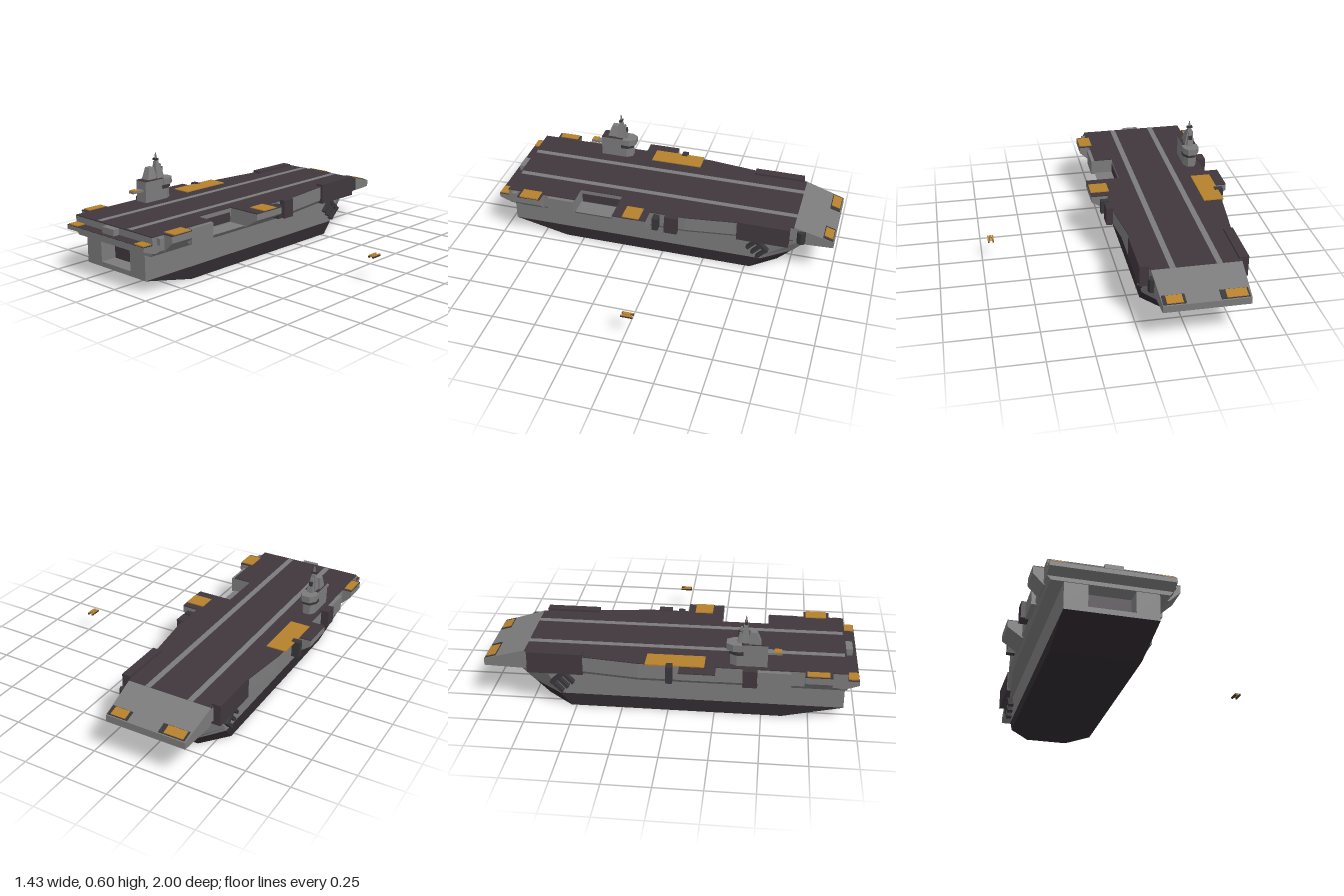
import * as THREE from 'three';

const C = -0.3175; // ship centreline in x
const mat = (name, color) => Object.assign(new THREE.MeshStandardMaterial({ color, flatShading: true }), { name });

// Solid from stacked rings of [x, y, z]; each runs stern-left, stern-right, bow-right, bow-left
function loft(rings) {
  const pos = [];
  const tri = (a, b, c) => pos.push(...a, ...b, ...c);
  const n = rings[0].length;
  for (let k = 0; k < rings.length - 1; k++) {
    for (let i = 0; i < n; i++) {
      const j = (i + 1) % n, [lo, hi] = [rings[k], rings[k + 1]];
      tri(lo[i], lo[j], hi[j]);
      tri(lo[i], hi[j], hi[i]);
    }
  }
  const cap = (ring, up) => {
    const pts = ring.map(p => new THREE.Vector2(p[0], -p[2]));
    for (const [a, b, c] of THREE.ShapeUtils.triangulateShape(pts, [])) {
      const ccw = THREE.ShapeUtils.area([pts[a], pts[b], pts[c]]) > 0;
      if (ccw === up) tri(ring[a], ring[b], ring[c]);
      else tri(ring[a], ring[c], ring[b]);
    }
  };
  cap(rings[0], false);
  cap(rings[rings.length - 1], true);
  const g = new THREE.BufferGeometry();
  g.setAttribute('position', new THREE.Float32BufferAttribute(pos, 3));
  g.computeVertexNormals();
  return g;
}
const level = (y, pts) => pts.map(([x, z]) => [x, y, z]);
const rect = (y, x0, x1, z0, z1) => level(y, [[x0, z1], [x1, z1], [x1, z0], [x0, z0]]);

export function createModel() {
  const ship = new THREE.Group();
  ship.name = 'carrier';
  const grey = mat('hull grey', 0x7b7b7b);
  const dark = mat('deck purple', 0x40373d);
  const keel = mat('lower hull dark', 0x302a2f);
  const orange = mat('pad orange', 0xb5802c);
  const steel = mat('dark steel', 0x38363a);

  const add = (name, geo, m, parent = ship) => {
    const mesh = new THREE.Mesh(geo, m);
    mesh.name = name;
    parent.add(mesh);
    return mesh;
  };
  // Box given by its limits
  const box = (name, m, x0, x1, y0, y1, z0, z1, parent = ship) => {
    const mesh = add(name, new THREE.BoxGeometry(x1 - x0, y1 - y0, z1 - z0), m, parent);
    mesh.position.set((x0 + x1) / 2, (y0 + y1) / 2, (z0 + z1) / 2);
    return mesh;
  };

  // Hull with raked blunt bow and rising stern
  const H = -0.31, W = 0.24;
  const hullRing = (y, stern, shoulder, bow, notch = 0) => level(y, [
    [H - W, stern],
    ...(notch ? [[H - 0.12, stern], [H - 0.12, stern - notch], [H + 0.12, stern - notch], [H + 0.12, stern]] : []),
    [H + W, stern], [H + W, shoulder], [H + 0.12, bow], [H - 0.12, bow], [H - W, shoulder],
  ]);
  add('lowerHull', loft([hullRing(0, 0.61, -0.53, -0.675), hullRing(0.072, 0.935, -0.59, -0.75)]), keel);
  add('hullLedge', loft([hullRing(0.072, 0.935, -0.59, -0.75), hullRing(0.1, 0.935, -0.605, -0.78)]), grey);
  add('upperHull', loft([hullRing(0.1, 0.935, -0.605, -0.78, 0.1), hullRing(0.22, 0.935, -0.67, -0.9, 0.1)]), grey);
  box('sternDoor', dark, H - 0.12, H + 0.12, 0.1, 0.22, 0.835, 0.842);

  // Flight deck outline, with the side lift notch on the left
  const side = [[0.3175, -0.15], [0.2825, -0.43], [0.2425, -0.77]];
  const outline = (inset, notch) => [
    [C - 0.3175 + inset, 0.94], [C + 0.3175 - inset, 0.94],
    ...(notch ? [[0, 0.52], [-0.11, 0.52], [-0.11, 0.26], [0, 0.26]] : []),
    ...side.map(([x, z]) => [C + x - inset, z]),
    ...side.slice().reverse().map(([x, z]) => [C - x + inset, z]),
  ];
  add('deckBase', loft([level(0.217, outline(0.02)), level(0.24, outline(0))]), grey);
  add('deckBody', loft([level(0.24, outline(0, true)), level(0.323, outline(0, true))]), grey);
  add('flightDeck', loft([level(0.323, outline(0, true)), level(0.328, outline(0, true))]), dark);
  box('hangarDoor', dark, -0.11, -0.105, 0.247, 0.3, 0.27, 0.51);
  for (const x of [-0.44, -0.19]) box('deckStripe', grey, x - 0.016, x + 0.016, 0.327, 0.33, -0.77, 0.93);

  // Sloping bow ramp with two pads
  const bowPlan = [[C - 0.2425, -0.77], [C + 0.2425, -0.77], [C + 0.23, -1], [C - 0.23, -1]];
  const rampY = z => 0.328 + (z + 0.77) * 0.3;
  add('bowRamp', loft([level(0.22, bowPlan), bowPlan.map(([x, z]) => [x, rampY(z), z])]), grey);
  const rampPlate = (name, m, x0, x1, z0, z1, lift) => {
    const p = box(name, m, x0, x1, 0, 0.006, z0, z1);
    p.position.y = rampY((z0 + z1) / 2) + lift;
    p.rotation.x = -Math.atan(0.3);
  };
  for (const [a, b, c, d] of [[-0.54, -0.39, -0.53, -0.42], [-0.21, -0.09, -0.195, -0.11]]) {
    rampPlate('bowPadBase', steel, a, b, -0.995, -0.935, 0);
    rampPlate('bowPad', orange, c, d, -0.992, -0.94, 0.004);
  }

  // Stern ledge below the deck
  add('sternLedge', loft([
    rect(0.235, -0.635, 0, 0.9, 0.93), rect(0.26, -0.635, 0, 0.9, 1), rect(0.283, -0.635, 0, 0.9, 1),
  ]), grey);
  box('sternLedgeTop', dark, -0.635, 0, 0.281, 0.286, 0.94, 0.999);
  box('sternCabin', grey, -0.36, -0.265, 0.28, 0.322, 0.94, 0.977);
  box('sternPad', orange, -0.625, -0.555, 0.285, 0.292, 0.945, 0.997);
  box('sternPad', orange, -0.075, -0.005, 0.285, 0.292, 0.945, 0.997);

  // Side platforms with sloped undersides
  const sponson = (s, out, z0, z1) => {
    const edge = C + s * 0.3175;
    const shape = new THREE.Shape([[-0.03, 0.323], [out, 0.323], [out, 0.287], [0, 0.23], [-0.03, 0.23]]
      .map(([x, y]) => new THREE.Vector2(edge + s * x, y)));
    add('sponson', new THREE.ExtrudeGeometry(shape, { depth: z1 - z0, bevelEnabled: false }), grey).position.z = z0;
    const xs = [edge, edge + s * out].sort((a, b) => a - b);
    box('sponsonDeck', dark, xs[0], xs[1], 0.322, 0.328, z0, z1);
  };
  sponson(1, 0.095, 0.06, 0.26);
  sponson(-1, 0.082, 0.07, 0.26);
  sponson(1, 0.062, 0.72, 0.86);
  sponson(-1, 0.055, 0.72, 0.86);
  const pad = (name, x0, x1, z0, z1) => box(name, orange, x0, x1, 0.326, 0.333, z0, z1);
  pad('sideLift', -0.65, -0.535, -0.11, 0.2);
  pad('sponsonPad', -0.015, 0.093, 0.1, 0.2);
  pad('sponsonPad', -0.015, 0.062, 0.73, 0.845);
  pad('sponsonPad', -0.688, -0.642, 0.73, 0.845);

  // Boxes along the deck edge
  box('bowSideBox', dark, -0.07, -0.02, 0.22, 0.34, -0.75, -0.45);
  box('bowSideBox', dark, -0.603, -0.55, 0.22, 0.34, -0.75, -0.45);
  box('edgeBox', dark, -0.005, 0.037, 0.225, 0.332, -0.11, -0.035);
  box('edgeBox', steel, -0.005, 0.05, 0.24, 0.318, 0, 0.035);
  box('edgeBox', steel, -0.68, -0.63, 0.24, 0.335, 0, 0.035);
  box('edgeBox', dark, -0.68, -0.63, 0.24, 0.335, 0.4, 0.475);
  box('edgeBox', grey, -0.657, -0.63, 0.23, 0.32, 0.48, 0.65);
  box('edgeBox', grey, -0.005, 0.02, 0.23, 0.32, 0.525, 0.685);
  box('edgeBox', grey, -0.005, 0.025, 0.28, 0.318, 0.88, 0.91);
  const drum = add('bowDrum', new THREE.CylinderGeometry(0.025, 0.025, 0.075, 8), steel);
  drum.position.set(-0.075, 0.27, -0.815);

  // Anchors on both bow flanks
  for (const s of [1, -1]) {
    const anchor = new THREE.Group();
    anchor.name = 'anchor';
    box('anchorBar', steel, -0.02, 0.018, 0.025, 0.045, -0.05, 0.05, anchor);
    for (const z of [-0.04, 0, 0.04]) box('anchorArm', steel, -0.015, 0.015, -0.045, 0.03, z - 0.009, z + 0.009, anchor);
    anchor.position.set(H + s * (W + 0.015), 0.155, -0.57);
    anchor.rotation.x = -0.75;
    ship.add(anchor);
  }

  // Island: base, bridge, masts
  const island = new THREE.Group();
  island.name = 'island';
  ship.add(island);
  const X = -0.57;
  const wedge = (y, w, z0, z1) => level(y, [
    [X - w, z1], [X + w, z1], [X + w, z0 + 0.035], [X + w * 0.5, z0], [X - w * 0.5, z0], [X - w, z0 + 0.035]]);
  add('islandBase', loft([wedge(0.327, 0.04, 0.33, 0.525), wedge(0.45, 0.04, 0.33, 0.525)]), grey, island);
  add('bridge', loft([wedge(0.412, 0.047, 0.31, 0.39), wedge(0.45, 0.047, 0.31, 0.39)]), grey, island);
  add('bridgeBand', loft([wedge(0.39, 0.045, 0.325, 0.4), wedge(0.41, 0.045, 0.325, 0.4)]), steel, island);
  box('islandRoof', dark, X - 0.04, X + 0.04, 0.449, 0.454, 0.39, 0.524, island);
  box('rearArm', grey, X - 0.02, X + 0.02, 0.391, 0.403, 0.52, 0.6, island);
  box('rearArmPad', orange, X - 0.02, X + 0.02, 0.402, 0.408, 0.56, 0.595, island);
  const mast = (name, m, y0, y1, a, b) => add(name, loft([rect(y0, ...a), rect(y1, ...b)]), m, island);
  mast('funnel', grey, 0.45, 0.52, [X - 0.035, X + 0.025, 0.425, 0.49], [X - 0.03, X + 0.005, 0.43, 0.465]);
  mast('mainMast', grey, 0.45, 0.55, [X - 0.025, X + 0.03, 0.385, 0.43], [X - 0.012, X + 0.01, 0.397, 0.417]);
  mast('spire', grey, 0.55, 0.6, [X - 0.009, X + 0.007, 0.4, 0.415], [X - 0.003, X + 0.001, 0.406, 0.41]);
  mast('foreMast', grey, 0.45, 0.535, [X - 0.015, X + 0.02, 0.365, 0.39], [X - 0.008, X + 0.008, 0.38, 0.39]);
  box('radarBar', steel, X - 0.018, X + 0.016, 0.556, 0.568, 0.4, 0.416, island);
  box('radarArm', steel, X - 0.01, X + 0.01, 0.49, 0.515, 0.367, 0.385, island);

  // Small escort craft flying beside the ship
  const craft = new THREE.Group();
  craft.name = 'escortCraft';
  ship.add(craft);
  add('craftBody', loft([rect(0.148, 0.688, 0.704, -0.04, 0.012), rect(0.16, 0.69, 0.702, -0.025, 0.008)]), orange, craft);
  for (const x of [0.683, 0.709]) {
    box('craftPod', steel, x - 0.004, x + 0.004, 0.143, 0.152, -0.05, 0.016, craft);
    box('craftPodTop', orange, x - 0.004, x + 0.004, 0.152, 0.156, -0.05, 0.012, craft);
  }
  box('craftWing', steel, 0.683, 0.709, 0.148, 0.153, -0.035, 0, craft);
  return ship;
}
